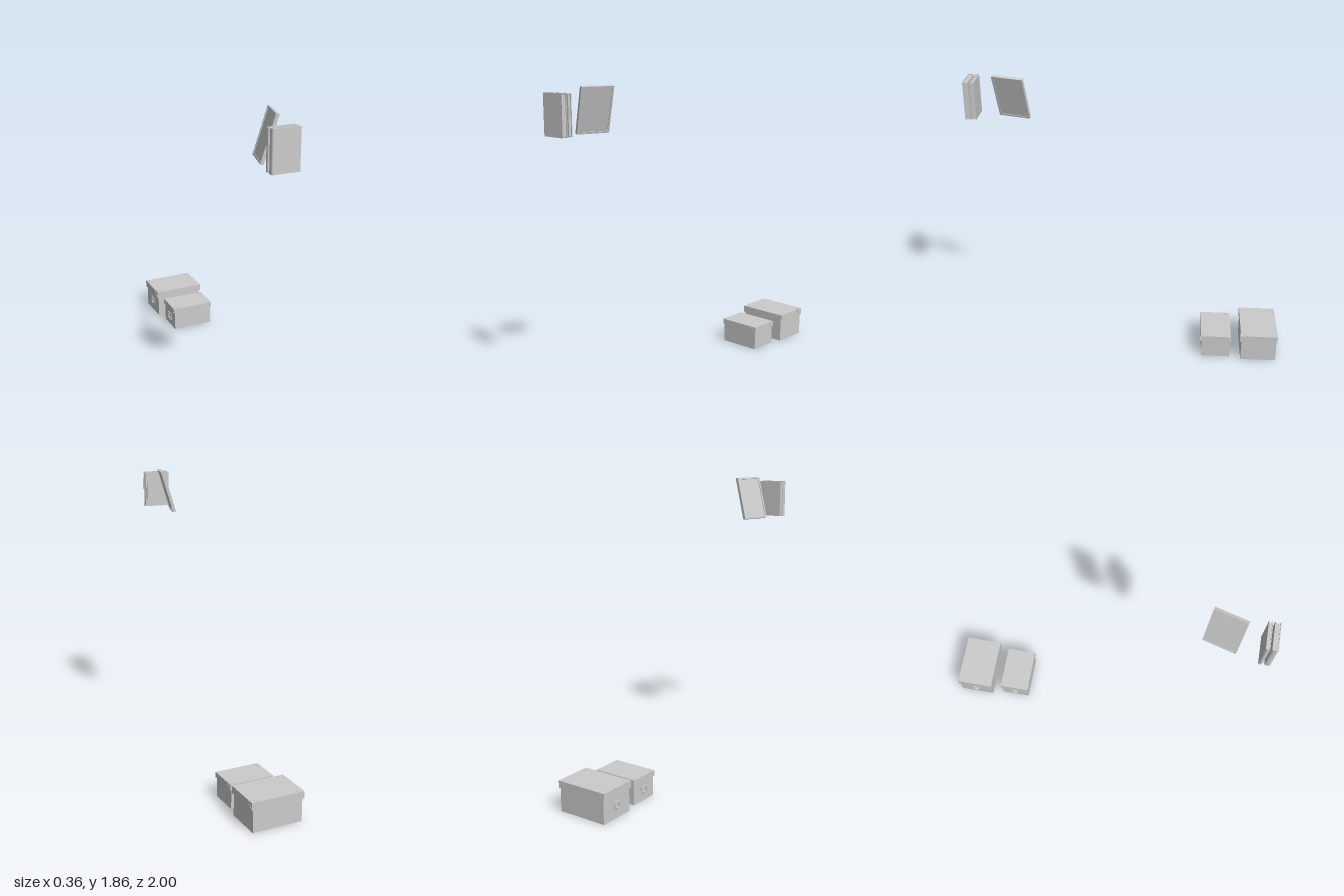
import * as THREE from 'three';

const grey = new THREE.MeshStandardMaterial({ color: 0xcccccc });

function add(parent, name, geometry, x = 0, y = 0, z = 0) {
  const mesh = new THREE.Mesh(geometry, grey);
  mesh.name = name;
  mesh.position.set(x, y, z);
  parent.add(mesh);
  return mesh;
}
const box = (w, h, d) => new THREE.BoxGeometry(w, h, d);

// Reinforcement for one lid corner: three equal quarter discs meeting at the corner
function cornerGuard(radius) {
  const guard = new THREE.Group();
  guard.name = 'cornerGuard';
  const shape = new THREE.Shape();
  shape.moveTo(0, 0);
  shape.absarc(0, 0, radius, Math.PI, Math.PI * 1.5, false);
  shape.closePath();
  const geometry = new THREE.ExtrudeGeometry(shape, { depth: 0.0015, bevelEnabled: false, curveSegments: 8 });
  const diagonal = new THREE.Vector3(1, 1, 1).normalize();
  for (let k = 0; k < 3; k++) {
    add(guard, 'guardPlate', geometry).quaternion.setFromAxisAngle(diagonal, (k * 2 * Math.PI) / 3);
  }
  return guard;
}

// Rectangular frame with an open middle, facing +z
function frameGeometry(w, h, border, depth) {
  const rect = (path, a, b) => {
    path.moveTo(-a, -b);
    path.lineTo(a, -b);
    path.lineTo(a, b);
    path.lineTo(-a, b);
    path.closePath();
    return path;
  };
  const shape = rect(new THREE.Shape(), w / 2, h / 2);
  shape.holes.push(rect(new THREE.Path(), w / 2 - border, h / 2 - border));
  const geometry = new THREE.ExtrudeGeometry(shape, { depth, bevelEnabled: false });
  return geometry.translate(0, 0, -depth / 2);
}

// Storage box: body, overhanging lid, corner guards and a label holder on the -x end
function storageBox({ w, d, h, lidW, lidD, lidH, holderW }) {
  const group = new THREE.Group();
  group.name = 'storageBox';
  const bodyH = h - lidH / 2;
  add(group, 'boxBody', box(w, bodyH, d), 0, bodyH / 2);
  add(group, 'boxLid', box(lidW, lidH, lidD), 0, h - lidH / 2);

  for (let i = 0; i < 4; i++) {
    const guard = cornerGuard(lidH);
    const sx = i === 0 || i === 1 ? 1 : -1;
    const sz = i === 0 || i === 3 ? 1 : -1;
    guard.position.set((sx * lidW) / 2, h, (sz * lidD) / 2);
    guard.rotation.y = (i * Math.PI) / 2;
    group.add(guard);
  }

  const holderY = (h - lidH) * 0.54;
  const holder = add(group, 'labelHolder', frameGeometry(holderW, 0.046, 0.007, 0.006), -w / 2 - 0.003, holderY);
  holder.rotation.y = -Math.PI / 2;
  // small pull below the label window
  add(group, 'labelPull', box(0.013, 0.012, holderW * 0.5), -w / 2 - 0.0065, holderY - 0.017);
  return group;
}

// Upright book: C-shaped cover with a rounded spine on -x, and an inset page block
function book(w, h, t) {
  const group = new THREE.Group();
  group.name = 'book';
  const c = 0.004;
  const r = t / 2;
  const bulge = 0.008;
  const left = -w / 2 + bulge;
  const shape = new THREE.Shape();
  shape.moveTo(w / 2, -r);
  shape.lineTo(w / 2, -r + c);
  shape.lineTo(left, -r + c);
  shape.absellipse(left, 0, bulge - c, r - c, Math.PI * 1.5, Math.PI / 2, true);
  shape.lineTo(w / 2, r - c);
  shape.lineTo(w / 2, r);
  shape.lineTo(left, r);
  shape.absellipse(left, 0, bulge, r, Math.PI / 2, Math.PI * 1.5, false);
  shape.closePath();
  const cover = new THREE.ExtrudeGeometry(shape, { depth: h, bevelEnabled: false, curveSegments: 10 });
  cover.rotateX(-Math.PI / 2).translate(0, -h / 2, 0);
  add(group, 'bookCover', cover);
  add(group, 'bookPages', box(w - bulge - 0.006, h - 0.012, t - 2 * c), bulge / 2 - 0.003);
  return group;
}

export function createModel() {
  const model = new THREE.Group();
  model.name = 'boxesAndBooks';

  // Two storage boxes at the back
  const largeBox = storageBox({ w: 0.322, d: 0.23, h: 0.19, lidW: 0.342, lidD: 0.24, lidH: 0.045, holderW: 0.05 });
  largeBox.name = 'largeBox';
  largeBox.position.set(0.007, 0, -0.878);
  const smallBox = storageBox({ w: 0.275, d: 0.187, h: 0.16, lidW: 0.29, lidD: 0.197, lidH: 0.035, holderW: 0.055 });
  smallBox.name = 'smallBox';
  smallBox.position.set(0.008, 0, -0.595);

  // Two upright books at the front, high up
  const frontBook = book(0.168, 0.24, 0.034);
  frontBook.name = 'frontBook';
  frontBook.position.set(-0.097, 1.702, 0.983);
  const rearBook = book(0.168, 0.236, 0.024);
  rearBook.name = 'rearBook';
  rearBook.position.set(-0.097, 1.702, 0.944);

  // Leaning picture frame behind the books
  const picture = new THREE.Group();
  picture.name = 'leaningFrame';
  const border = add(picture, 'frameBorder', frameGeometry(0.203, 0.283, 0.011, 0.02));
  border.rotation.y = Math.PI / 2;
  add(picture, 'framePanel', box(0.012, 0.262, 0.182));
  picture.position.set(-0.069, 1.717, 0.719);
  picture.rotation.set(0, -0.27, -0.29);

  model.add(largeBox, smallBox, frontBook, rearBook, picture);
  return model;
}
